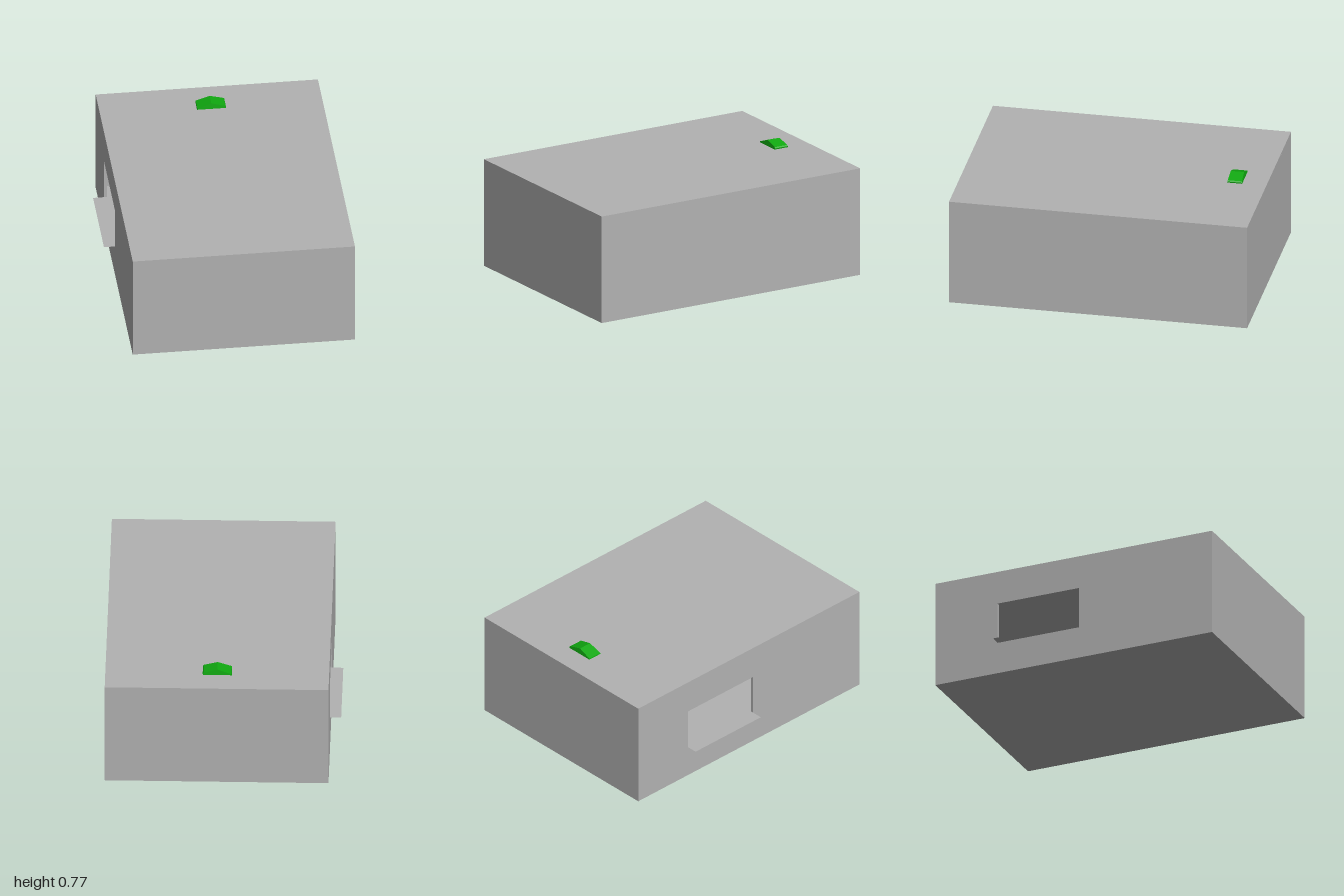
import * as THREE from 'three';

const X0 = -0.7, X1 = 0.773, H = 0.735, T = 0.02; // shell extents and wall thickness

export function createModel() {
  const model = new THREE.Group();
  const gray = new THREE.MeshStandardMaterial({ color: 0xb2b2b2 });
  gray.name = 'wallGray';
  gray.side = THREE.DoubleSide;
  const green = new THREE.MeshStandardMaterial({ color: 0x10a810 });
  green.name = 'ridgeGreen';

  const add = (name, geometry, material) => {
    const mesh = new THREE.Mesh(geometry, material);
    mesh.name = name;
    model.add(mesh);
    return mesh;
  };
  // Box from its minimum and maximum corners
  const slab = (name, a, b) => {
    const size = b.map((v, i) => v - a[i]);
    add(name, new THREE.BoxGeometry(...size), gray)
      .position.set(...a.map((v, i) => v + size[i] / 2));
  };
  const outline = (points) => new THREE.Shape(points.map((p) => new THREE.Vector2(...p)));

  // Hollow shell: floor, roof and the three closed walls
  slab('floor', [X0, 0, -1], [X1, T, 1]);
  slab('roof', [X0, H - T, -1], [X1, H, 1]);
  slab('frontWall', [X0 + T, T, 1 - T], [X1, H - T, 1]);
  slab('backWall', [X0 + T, T, -1], [X1, H - T, -1 + T]);
  slab('leftWall', [X1 - T, T, -1 + T], [X1, H - T, 1 - T]);

  // Wall with the serving hatch; shape x runs along +z after the turn
  const hatch = { z0: -0.55, z1: 0.04, y0: 0.22, y1: 0.505 };
  const wall = outline([[-1, T], [1, T], [1, H - T], [-1, H - T]]);
  wall.holes.push(outline([
    [hatch.z0, hatch.y0], [hatch.z0, hatch.y1], [hatch.z1, hatch.y1], [hatch.z1, hatch.y0],
  ]));
  const wallGeometry = new THREE.ExtrudeGeometry(wall, { depth: T, bevelEnabled: false });
  wallGeometry.rotateY(-Math.PI / 2).translate(X0 + T, 0, 0);
  add('hatchWall', wallGeometry, gray);

  // Paper-thin counter passing through the hatch
  const counter = new THREE.PlaneGeometry(0.22, hatch.z1 - hatch.z0).rotateX(-Math.PI / 2);
  add('hatchCounter', counter, gray)
    .position.set(-0.663, hatch.y0 + 0.001, (hatch.z0 + hatch.z1) / 2);

  // Small ridged block on the roof, its sides leaning in slightly
  const ridge = outline([
    [-0.06, H], [0.13, H], [0.132, 0.743], [0.125, 0.75], [0.035, 0.775], [-0.058, 0.742],
  ]);
  const ridgeGeometry = new THREE.ExtrudeGeometry(ridge, { depth: 0.1, bevelEnabled: false });
  const p = ridgeGeometry.attributes.position;
  for (let i = 0; i < p.count; i++) {
    const lean = (p.getY(i) - H) * 0.12;
    p.setZ(i, p.getZ(i) > 0.05 ? 0.1 - lean : lean);
  }
  ridgeGeometry.computeVertexNormals();
  add('roofRidge', ridgeGeometry, green).position.z = -0.838;

  return model;
}
